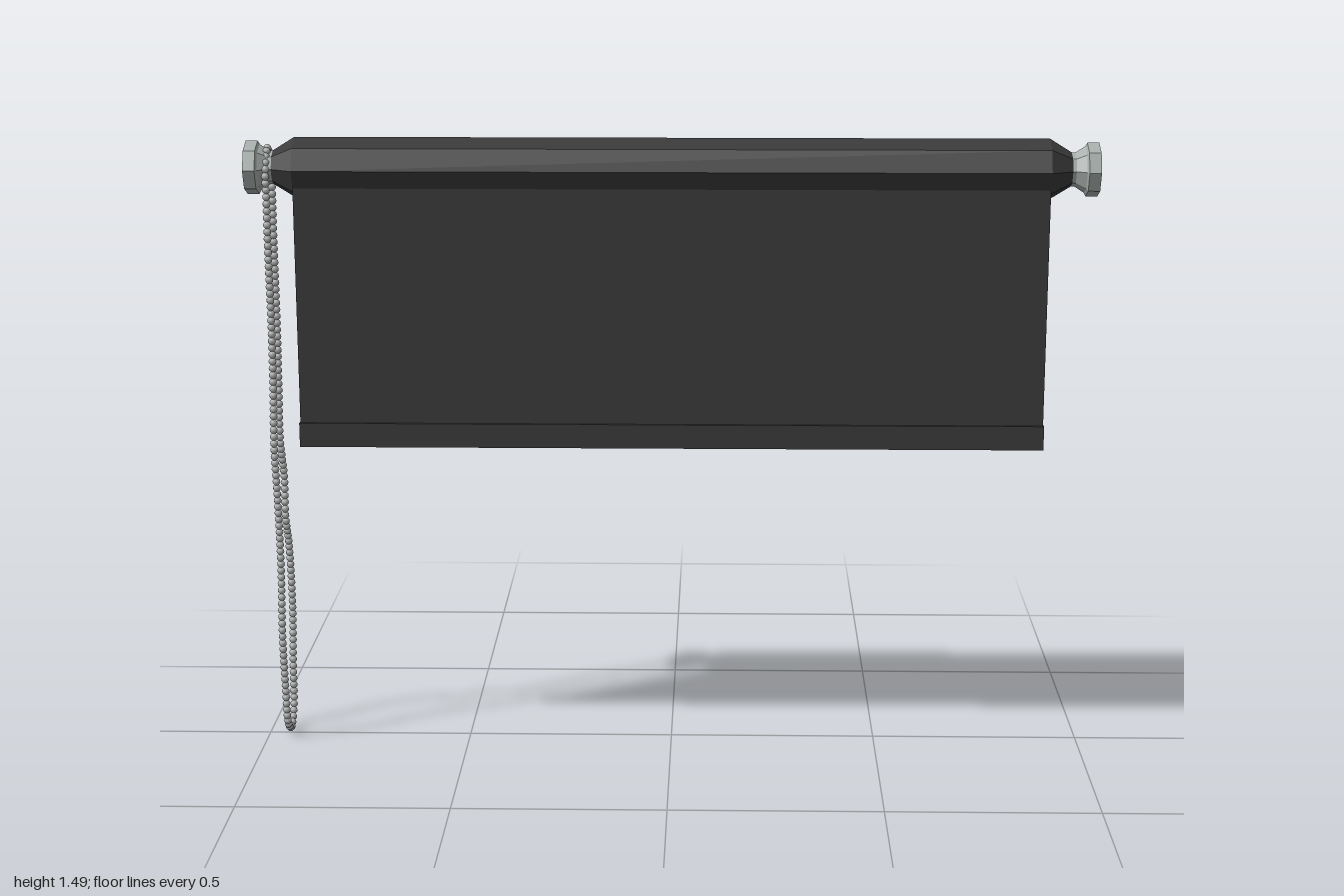
import * as THREE from 'three';
import { mergeGeometries } from 'three/addons/utils/BufferGeometryUtils.js';

const AXIS_Y = 1.42, AXIS_Z = 0.03;

// Eight-sided turned part lying along x; profile is [radius, x] with x rising
function turned(name, profile, material) {
  const geo = new THREE.LatheGeometry(profile.map(([r, x]) => new THREE.Vector2(r, x)), 8);
  geo.rotateZ(-Math.PI / 2);
  const mesh = new THREE.Mesh(geo, material);
  mesh.name = name;
  mesh.position.set(0, AXIS_Y, AXIS_Z);
  return mesh;
}

function panel(name, w, yMin, yMax, z, depth, material) {
  const mesh = new THREE.Mesh(new THREE.BoxGeometry(w, yMax - yMin, depth), material);
  mesh.name = name;
  mesh.position.set(0, (yMin + yMax) / 2, z);
  return mesh;
}

export function createModel() {
  const group = new THREE.Group();
  group.name = 'rollerBlind';
  const darkFabric = new THREE.MeshStandardMaterial({ color: 0x3a3a3a, flatShading: true });
  darkFabric.name = 'dark fabric';
  const greyMetal = new THREE.MeshStandardMaterial({ color: 0xa9b0ae, flatShading: true });
  greyMetal.name = 'grey metal';
  const chainMetal = new THREE.MeshStandardMaterial({ color: 0xb2b4b3 });
  chainMetal.name = 'chain metal';

  // Rolled fabric with tapered ends
  group.add(turned('roller', [
    [0, -0.94], [0.038, -0.94], [0.072, -0.885], [0.072, 0.885], [0.038, 0.94], [0, 0.94],
  ], darkFabric));

  // Flared end caps, mirrored left and right
  const cap = [[0, 0.92], [0.04, 0.92], [0.04, 0.945], [0.055, 0.968], [0.063, 0.972], [0.063, 1], [0, 1]];
  group.add(turned('leftEndCap', cap, greyMetal));
  group.add(turned('rightEndCap', cap.map(([r, x]) => [r, -x]).reverse(), greyMetal));

  // Hanging sheet and its weighted hem
  group.add(panel('blindSheet', 1.77, 0.78, 1.42, 0.08, 0.009, darkFabric));
  group.add(panel('hemBar', 1.774, 0.757, 0.815, 0.081, 0.02, darkFabric));

  // Wavy loop of beads hung over the right neck, as [z, y]
  const path = [
    [0.07, 1.42], [0.068, 1.36], [0.071, 1.24], [0.063, 1.04], [0.071, 0.88], [0.086, 0.76],
    [0.067, 0.63], [0.052, 0.45], [0.067, 0.27], [0.05, 0.13], [0.036, 0.045], [-0.014, 0.01],
    [-0.061, 0.05], [-0.07, 0.15], [-0.09, 0.27], [-0.091, 0.35], [-0.07, 0.476], [-0.037, 0.55],
    [-0.04, 0.646], [0, 0.757], [-0.008, 0.88], [-0.016, 1.04], [-0.012, 1.24], [-0.016, 1.36],
    [-0.014, 1.42], [0.028, 1.465],
  ];
  const curve = new THREE.CatmullRomCurve3(path.map(([z, y]) => new THREE.Vector3(-0.95, y, z)), true);
  curve.arcLengthDivisions = 1000;
  const count = Math.round(curve.getLength() / 0.0165);
  const bead = new THREE.SphereGeometry(0.0095, 8, 6);
  const beads = [];
  for (let i = 0; i < count; i++) {
    const p = curve.getPointAt(i / count);
    beads.push(bead.clone().translate(p.x, p.y, p.z));
  }
  const chain = new THREE.Mesh(mergeGeometries(beads), chainMetal);
  chain.name = 'beadChain';
  group.add(chain);

  return group;
}
